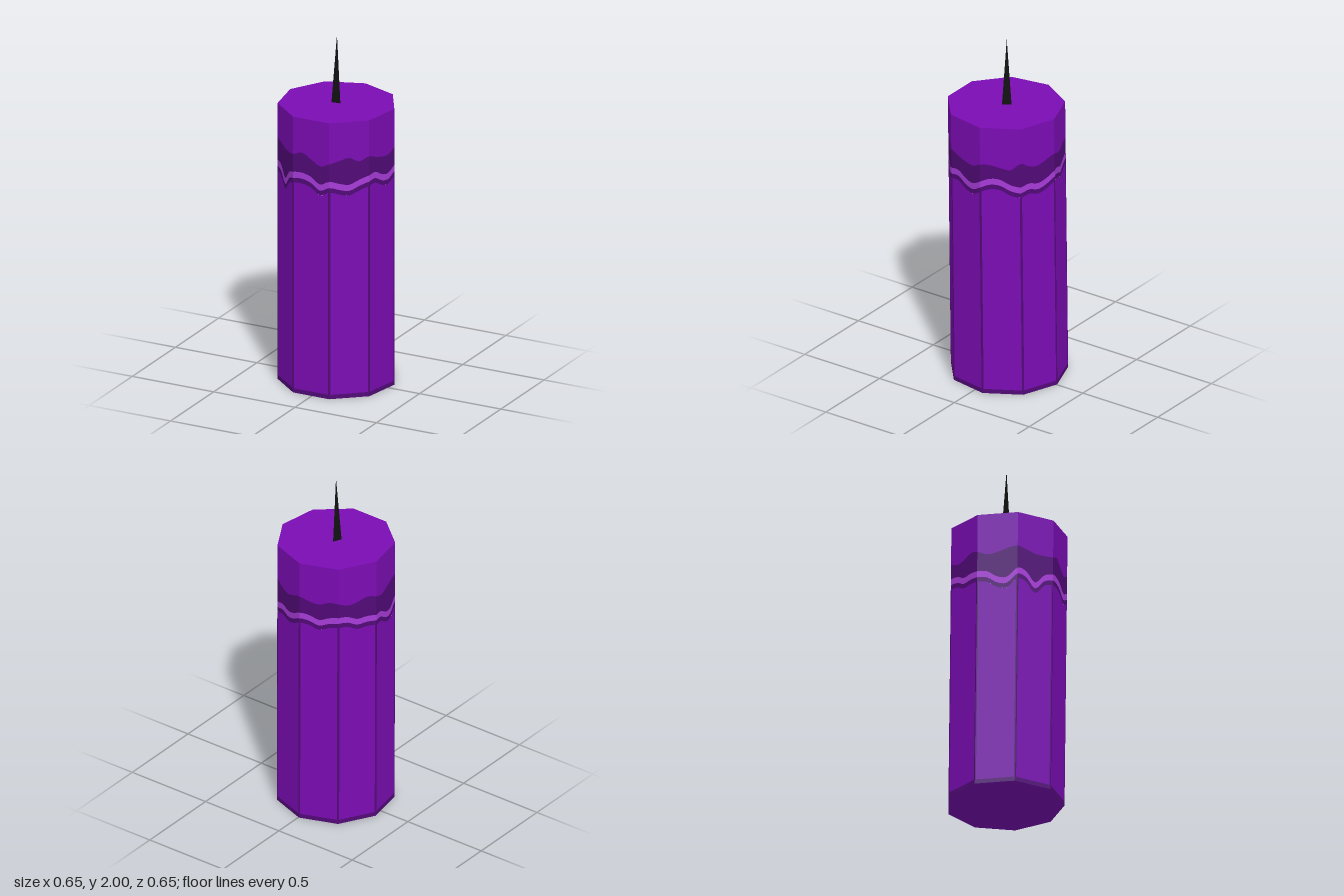
import * as THREE from 'three';

const SIDES = 9, RADIUS = 0.325, TOP = 1.61;

// Height of the wavy stripe's centre line, four samples per side from the front face round
const STRIPE = [
  1.27, 1.275, 1.26, 1.225, 1.25, 1.235, 1.225, 1.25, 1.27, 1.275, 1.245, 1.235,
  1.265, 1.285, 1.28, 1.25, 1.24, 1.25, 1.235, 1.25, 1.28, 1.275, 1.255, 1.275,
  1.285, 1.28, 1.255, 1.26, 1.255, 1.25, 1.215, 1.21, 1.26, 1.25, 1.195, 1.25,
];
// Height of the dark band's upper edge, sampled the same way
const BAND_TOP = [
  1.39, 1.41, 1.38, 1.35, 1.37, 1.385, 1.40, 1.375, 1.40, 1.38, 1.365, 1.36,
  1.385, 1.385, 1.37, 1.36, 1.40, 1.37, 1.36, 1.38, 1.40, 1.38, 1.37, 1.39,
  1.39, 1.37, 1.38, 1.40, 1.39, 1.37, 1.38, 1.40, 1.41, 1.40, 1.385, 1.385,
];

// Smooth periodic lookup; u counts sides
function wave(samples, u) {
  const n = samples.length, s = u * 4, i = Math.floor(s), t = s - i;
  const [a, b, c, d] = [-1, 0, 1, 2].map((k) => samples[(i + k + n) % n]);
  return b + 0.5 * t * (c - a + t * (2 * a - 5 * b + 4 * c - d + t * (3 * (b - c) + d - a)));
}

// Point on the slightly leaning nine-sided wall
function wallPoint(side, t, y) {
  const f = y / TOP;
  const corner = (k) => {
    const a = (k - 0.5) * 2 * Math.PI / SIDES;
    return [RADIUS * Math.sin(a), RADIUS * Math.cos(a)];
  };
  const [x0, z0] = corner(side), [x1, z1] = corner(side + 1);
  return [x0 + (x1 - x0) * t - 0.004 + 0.007 * f, y, z0 + (z1 - z0) * t + 0.015 * f];
}

function flatMesh(name, positions, material) {
  const g = new THREE.BufferGeometry();
  g.setAttribute('position', new THREE.Float32BufferAttribute(positions, 3));
  g.computeVertexNormals();
  const mesh = new THREE.Mesh(g, material);
  mesh.name = name;
  return mesh;
}

// Wall strip between two height functions, over the given columns of every side
function strip(name, material, columns, low, high) {
  const p = [];
  for (let s = 0; s < SIDES; s++) {
    for (const [t0, t1] of columns) {
      const a = wallPoint(s, t0, low(s + t0)), b = wallPoint(s, t1, low(s + t1));
      const c = wallPoint(s, t1, high(s + t1)), d = wallPoint(s, t0, high(s + t0));
      p.push(...a, ...b, ...c, ...a, ...c, ...d);
    }
  }
  return flatMesh(name, p, material);
}

function cap(name, material, y, up) {
  const p = [], f = y / TOP, centre = [-0.004 + 0.007 * f, y, 0.015 * f];
  for (let s = 0; s < SIDES; s++) {
    const a = wallPoint(s, 0, y), b = wallPoint(s, 1, y);
    p.push(...centre, ...(up ? a : b), ...(up ? b : a));
  }
  return flatMesh(name, p, material);
}

// Even columns between two fractions of a side
function columnsBetween(from, to, count) {
  return Array.from({ length: count }, (_, i) => [
    from + (to - from) * i / count, from + (to - from) * (i + 1) / count]);
}

export function createModel() {
  const material = (name, color) => {
    const m = new THREE.MeshStandardMaterial({ color });
    m.name = name;
    return m;
  };
  const wax = material('purple wax', 0x7b0cb4);
  const dark = material('dark purple', 0x520a78);
  const bright = material('bright violet', 0xa83cda);
  const black = material('wick black', 0x111111);

  const edge = 0.03, rim = 0.025;
  const all = columnsBetween(0, 1, 12);
  const inner = columnsBetween(edge, 1 - edge, 12);
  const edges = [[0, edge], [1 - edge, 1]];
  const level = (y) => () => y;
  const stripe = (offset) => (u) => wave(STRIPE, u % SIDES) + offset;
  const bandTop = (u) => wave(BAND_TOP, u % SIDES);

  const group = new THREE.Group();
  group.name = 'candle';
  group.add(
    // Lower wall with dark corner lines and bottom rim
    strip('bottomRim', dark, [[0, 1]], level(0), level(rim)),
    strip('lowerWall', wax, inner, level(rim), stripe(-0.045)),
    strip('cornerLines', dark, edges, level(rim), stripe(-0.045)),
    // Wavy band
    strip('bandLower', dark, all, stripe(-0.045), stripe(-0.018)),
    strip('bandStripe', bright, all, stripe(-0.018), stripe(0.018)),
    strip('bandUpper', dark, all, stripe(0.018), bandTop),
    // Upper wall and ends
    strip('upperWall', wax, all, bandTop, level(TOP)),
    cap('topFace', wax, TOP, true),
    cap('bottomFace', wax, 0, false),
  );

  // Three-sided pointed wick
  const wickShape = new THREE.ConeGeometry(0.031, 0.4, 3).toNonIndexed();
  wickShape.computeVertexNormals();
  const wick = new THREE.Mesh(wickShape, black);
  wick.name = 'wick';
  wick.position.set(-0.002, 1.8, 0.01);
  wick.rotation.y = 1.15;
  group.add(wick);
  return group;
}
